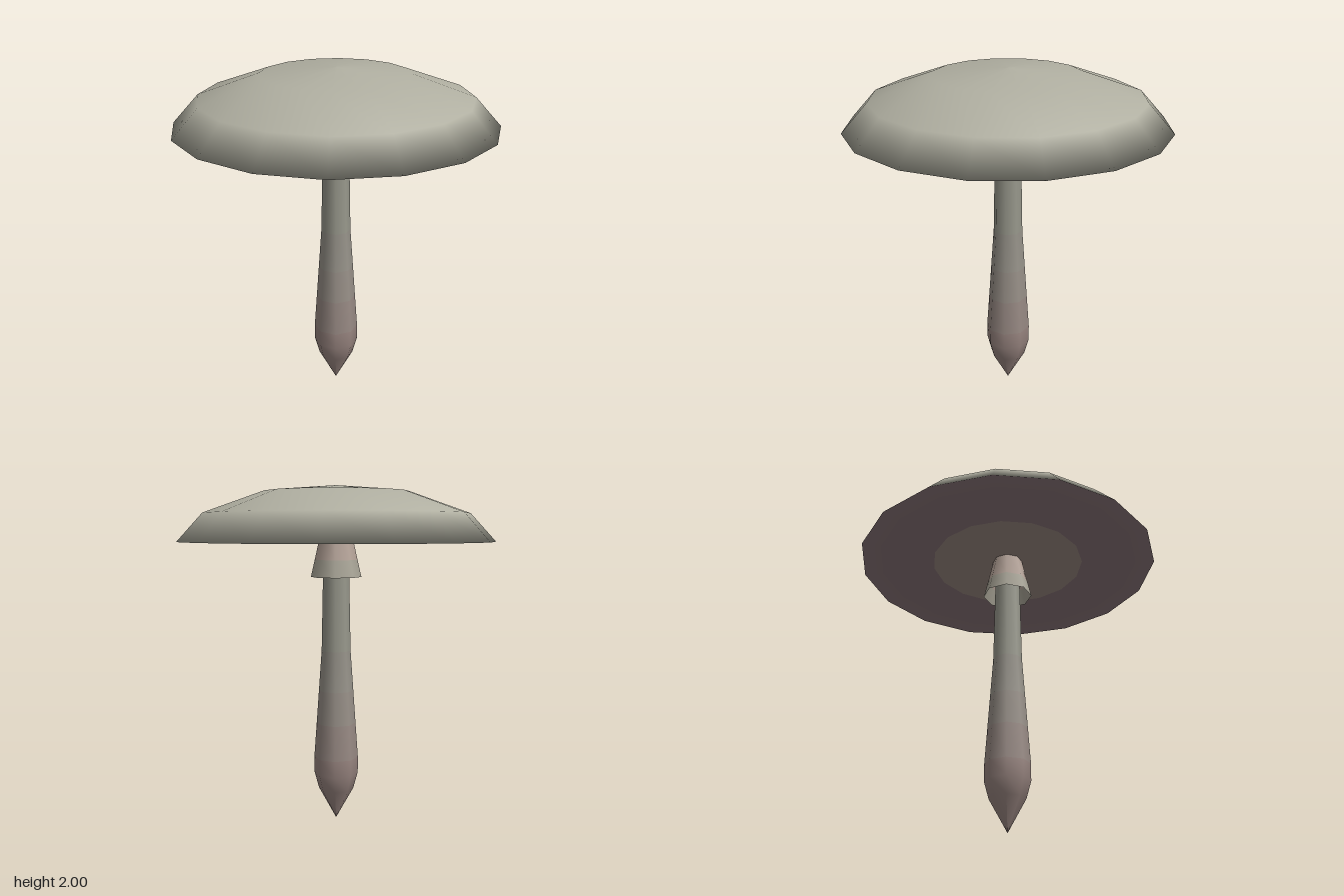
import * as THREE from 'three';

// Turn a profile of [radius, height, colour of the band to the next point].
// Bands share the smooth normals of the whole part; one mesh per colour.
function turned(name, profile, sides) {
  const points = profile.map(([r, y]) => new THREE.Vector2(r, y));
  const lathe = new THREE.LatheGeometry(points, sides);
  const bands = profile.length - 1;
  const indices = new Map();
  lathe.index.array.forEach((vertex, k) => {
    const color = profile[Math.floor(k / 6) % bands][2];
    if (!indices.has(color)) indices.set(color, []);
    indices.get(color).push(vertex);
  });
  const part = new THREE.Group();
  part.name = name;
  for (const [color, index] of indices) {
    const geometry = lathe.clone().setIndex(index);
    const material = new THREE.MeshStandardMaterial({ color, side: THREE.DoubleSide });
    const mesh = new THREE.Mesh(geometry, material);
    mesh.name = `${name}Band`;
    part.add(mesh);
  }
  return part;
}

export function createModel() {
  const group = new THREE.Group();
  group.name = 'mushroom';

  // Cap: shallow hollow purple-brown underside, sharp rim, low olive-grey dome
  const dome = 0xb0afa1;
  const cap = turned('cap', [
    [0, 1.73, 0x9c8a82], [0.47, 1.705, 0x8a7579], [0.917, 1.68, dome],
    [0.77, 1.84, dome], [0.42, 1.965, dome], [0, 2],
  ], 16);
  cap.rotation.y = -0.027;

  // Skirt: open flared collar under the cap, pinker towards the top
  const skirt = turned('skirt', [
    [0.148, 1.475, 0xa5a193], [0.125, 1.575, 0xb2a095], [0.09, 1.73],
  ], 8);

  // Stem: pointed pinkish root and swollen base, slender olive-grey top
  const root = 0x96837e;
  const stem = turned('stem', [
    [0, 0, root], [0.105, 0.19, root], [0.132, 0.29, root], [0.132, 0.39, 0x978983],
    [0.117, 0.6, 0x978f87], [0.103, 0.8, 0x97938a], [0.086, 1.04, 0x97978b], [0.072, 1.73],
  ], 8);

  group.add(cap, skirt, stem);
  return group;
}
